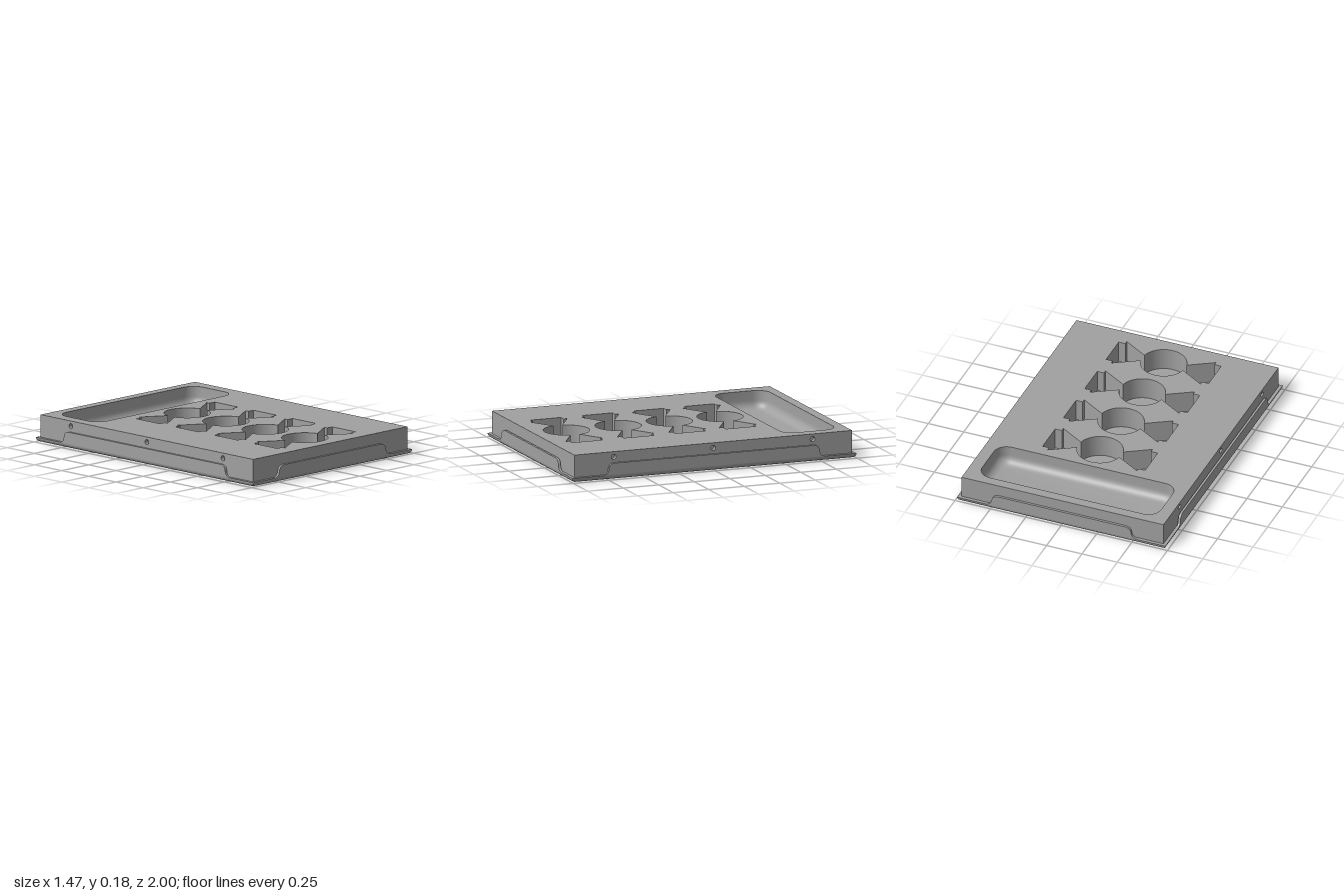
import * as THREE from 'three';
import { toCreasedNormals } from 'three/addons/utils/BufferGeometryUtils.js';

const HX = 0.735, HZ = 1;        // tray half size
const BX = 0.713, BZ = 0.978;    // block half size
const LEDGE = 0.03, TOP = 0.18, RIM = 0.108;

// Plan outlines use (x, -z); a ring lifts an outline to height y.
const ring = (pts, y) => pts.map((p) => new THREE.Vector3(p.x, y, -p.y));

// Skin between rings of equal point count, with optional fan caps.
function loft(rings, capStart, capEnd) {
  const pos = [];
  const tri = (...v) => v.forEach((p) => pos.push(p.x, p.y, p.z));
  const n = rings[0].length;
  for (let r = 0; r < rings.length - 1; r++) {
    for (let i = 0; i < n; i++) {
      const j = (i + 1) % n, a = rings[r], b = rings[r + 1];
      tri(a[i], b[i], b[j]);
      tri(a[i], b[j], a[j]);
    }
  }
  const cap = (loop, flip) => {
    const c = new THREE.Vector3();
    loop.forEach((p) => c.addScaledVector(p, 1 / n));
    for (let i = 0; i < n; i++) {
      const j = (i + 1) % n;
      if (flip) tri(c, loop[j], loop[i]);
      else tri(c, loop[i], loop[j]);
    }
  };
  if (capStart) cap(rings[0], false);
  if (capEnd) cap(rings[rings.length - 1], true);
  const g = new THREE.BufferGeometry();
  g.setAttribute('position', new THREE.Float32BufferAttribute(pos, 3));
  return toCreasedNormals(g, 0.6);
}

function rectOutline(hx, hz) {
  return [[-hx, -hz], [hx, -hz], [hx, hz], [-hx, hz]].map(([x, y]) => new THREE.Vector2(x, y));
}

function roundedOutline(cy, hx, hy, r) {
  const pts = [];
  [[1, 1], [-1, 1], [-1, -1], [1, -1]].forEach(([sx, sy], q) => {
    for (let i = 0; i <= 8; i++) {
      const a = (q + i / 8) * Math.PI / 2;
      pts.push(new THREE.Vector2(sx * (hx - r) + r * Math.cos(a), cy + sy * (hy - r) + r * Math.sin(a)));
    }
  });
  return pts;
}

// Round pocket with a flared, stepped wing on each side.
function pocketOutline(cy) {
  const R = 0.152, a0 = 0.21, pts = [];
  const wing = [[0.315, -0.133], [0.315, -0.107], [0.362, -0.107], [0.362, 0.107], [0.315, 0.107], [0.315, 0.133]];
  for (const s of [1, -1]) {
    wing.forEach(([x, y]) => pts.push(new THREE.Vector2(s * x, cy + s * y)));
    for (let i = 0; i <= 24; i++) {
      const a = a0 + (Math.PI - 2 * a0) * i / 24;
      pts.push(new THREE.Vector2(s * R * Math.cos(a), cy + s * R * Math.sin(a)));
    }
  }
  return pts;
}

// Raised wall panel with S-curved ends.
function wallGeometry(outer, inner) {
  const s = new THREE.Shape(), m = (outer + inner) / 2, h = (LEDGE + RIM) / 2;
  s.moveTo(-outer, LEDGE);
  s.quadraticCurveTo(-m - 0.005, LEDGE, -m, h);
  s.quadraticCurveTo(-m + 0.005, RIM, -inner, RIM);
  s.lineTo(inner, RIM);
  s.quadraticCurveTo(m - 0.005, RIM, m, h);
  s.quadraticCurveTo(m + 0.005, LEDGE, outer, LEDGE);
  const g = new THREE.ExtrudeGeometry(s, { depth: 0.016, bevelEnabled: false, curveSegments: 10 });
  return toCreasedNormals(g, 0.6);
}

export function createModel() {
  const model = new THREE.Group();
  const grey = new THREE.MeshStandardMaterial({ color: 0xa0a0a0, side: THREE.DoubleSide });
  grey.name = 'grey';
  const add = (name, geometry, parent = model) => {
    const mesh = new THREE.Mesh(geometry, grey);
    mesh.name = name;
    parent.add(mesh);
    return mesh;
  };

  // Tray floor with rounded lower edges and mitred corners
  const baseRings = [];
  for (let i = 0; i <= 8; i++) {
    const a = i / 8 * Math.PI / 2, inset = LEDGE * (1 - Math.cos(a));
    baseRings.push(ring(rectOutline(HX - inset, HZ - inset), LEDGE * (1 - Math.sin(a))));
  }
  add('trayBase', loft(baseRings, true, true));

  // Tray walls, stopping short of the corners
  for (let k = 0; k < 4; k++) {
    const long = k % 2 === 1;
    const pivot = new THREE.Group();
    pivot.name = ['frontWall', 'leftWall', 'backWall', 'rightWall'][k];
    pivot.rotation.y = k * Math.PI / 2;
    const wall = add('wallPanel', long ? wallGeometry(0.785, 0.7) : wallGeometry(0.545, 0.44), pivot);
    wall.position.z = (long ? HX : HZ) - 0.016;
    model.add(pivot);
  }

  // Block top, pierced by the pockets and the recess
  const pockets = [-0.338, 0.018, 0.379, 0.743].map((z) => pocketOutline(-z));
  const recess = (inset) => roundedOutline(0.723, 0.632 - inset, 0.189 - inset, 0.09 - inset);
  const topShape = new THREE.Shape(rectOutline(BX, BZ));
  [...pockets, recess(0)].forEach((o) => topShape.holes.push(new THREE.Path(o)));
  const topGeo = new THREE.ShapeGeometry(topShape);
  topGeo.rotateX(-Math.PI / 2).translate(0, TOP, 0);
  add('blockTop', topGeo);

  // Pocket walls reach down to the tray floor
  pockets.forEach((o) => add('pocketWall', loft([ring(o, LEDGE), ring(o, TOP)])));

  // Recess with a filleted floor
  const recessRings = [ring(recess(0), TOP)];
  for (let i = 0; i <= 8; i++) {
    const a = i / 8 * Math.PI / 2, f = 0.06;
    recessRings.push(ring(recess(f * (1 - Math.cos(a))), 0.055 + f * (1 - Math.sin(a))));
  }
  add('recess', loft(recessRings.reverse(), true, false));

  // Block sides; the long ones carry three round holes
  for (let k = 0; k < 4; k++) {
    const long = k % 2 === 1, w = long ? BZ : BX, d = long ? BX : BZ;
    const side = new THREE.Group();
    side.name = ['blockFront', 'blockLeft', 'blockBack', 'blockRight'][k];
    side.rotation.y = k * Math.PI / 2;
    const s = new THREE.Shape([[-w, LEDGE], [w, LEDGE], [w, TOP], [-w, TOP]].map((p) => new THREE.Vector2(...p)));
    if (long) {
      for (const u of [-0.7, 0, 0.7]) {
        s.holes.push(new THREE.Path().absarc(u, 0.145, 0.017, 0, Math.PI * 2, true));
        const bore = new THREE.CylinderGeometry(0.017, 0.017, 0.03, 24, 1, true).rotateX(Math.PI / 2);
        add('sideHole', bore, side).position.set(u, 0.145, d - 0.015);
        add('sideHoleEnd', new THREE.CircleGeometry(0.017, 24), side).position.set(u, 0.145, d - 0.03);
      }
    }
    add('blockSide', new THREE.ShapeGeometry(s, 12), side).position.z = d;
    model.add(side);
  }
  return model;
}
